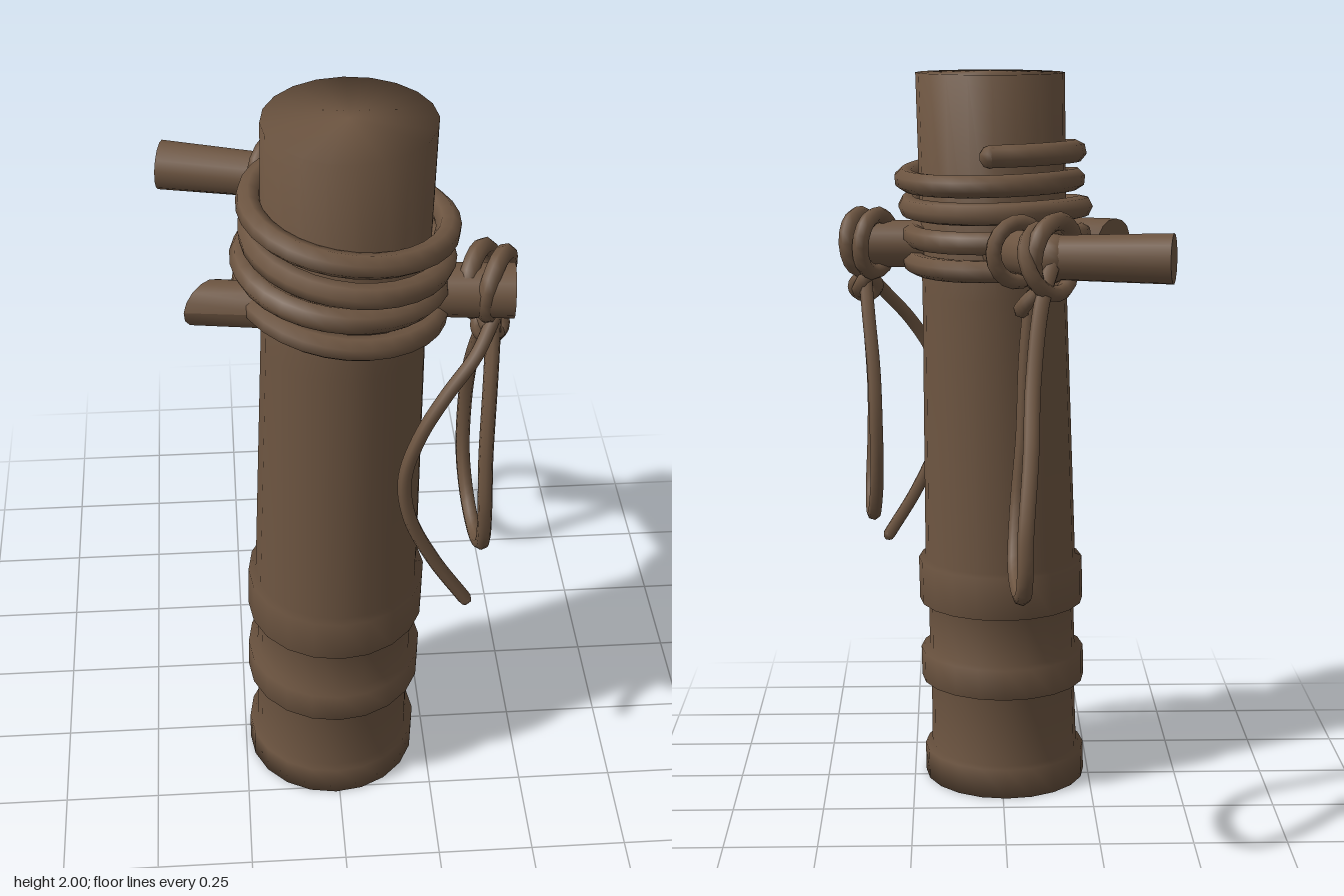
import * as THREE from 'three';

const wood = new THREE.MeshStandardMaterial({ color: 0x6d5541 });
wood.name = 'brown wood and rope';

const V = (p) => new THREE.Vector3(...p);

function add(group, name, geometry) {
  const mesh = new THREE.Mesh(geometry, wood);
  mesh.name = name;
  group.add(mesh);
  return mesh;
}

// Straight round peg between two points; slant skews the far end cap
function peg(group, name, a, b, r0, r1, slant = 0) {
  const from = V(a), to = V(b), len = from.distanceTo(to);
  const geo = new THREE.CylinderGeometry(r1, r0, len, 14);
  const dir = to.clone().sub(from).normalize();
  geo.applyQuaternion(new THREE.Quaternion().setFromUnitVectors(new THREE.Vector3(0, 1, 0), dir));
  const mid = from.clone().add(to).multiplyScalar(0.5);
  geo.translate(mid.x, mid.y, mid.z);
  if (slant) {
    const pos = geo.attributes.position;
    for (let i = 0; i < pos.count; i++) {
      const p = new THREE.Vector3().fromBufferAttribute(pos, i);
      if (p.clone().sub(mid).dot(dir) > 0) pos.setX(i, p.x + slant * (p.z - to.z));
    }
    geo.computeVertexNormals();
  }
  return add(group, name, geo);
}

// Rope along a smooth path, with closed tips
function rope(group, name, points, radius, segments = 48) {
  const curve = new THREE.CatmullRomCurve3(points.map(V));
  add(group, name, new THREE.TubeGeometry(curve, segments, radius, 7));
  for (const t of [0, 1]) {
    const tip = add(group, name + 'Tip', new THREE.SphereGeometry(radius, 7, 5));
    tip.position.copy(curve.getPointAt(t));
  }
}

// Rope ring around an axis
function ring(group, name, center, axis, radius, tube) {
  const mesh = add(group, name, new THREE.TorusGeometry(radius, tube, 7, 18));
  mesh.position.set(...center);
  mesh.quaternion.setFromUnitVectors(new THREE.Vector3(0, 0, 1), V(axis).normalize());
}

export function createModel() {
  const model = new THREE.Group();
  model.name = 'mooringPost';

  // Post with raised bands at the foot, leaning very slightly
  const profile = [
    [0, 0], [0.228, 0], [0.228, 0.083], [0.208, 0.088], [0.205, 0.285], [0.232, 0.29],
    [0.232, 0.375], [0.208, 0.38], [0.206, 0.515], [0.232, 0.52], [0.232, 0.64],
    [0.213, 0.647], [0.2, 1.4], [0.203, 1.995], [0, 2],
  ].map(([r, y]) => new THREE.Vector2(r, y));
  const postGeo = new THREE.LatheGeometry(profile, 20);
  const pos = postGeo.attributes.position;
  for (let i = 0; i < pos.count; i++) {
    const y = pos.getY(i);
    pos.setX(i, pos.getX(i) - 0.01 + 0.02 * y);
    pos.setZ(i, pos.getZ(i) + 0.29 + 0.018 * y);
  }
  add(model, 'post', postGeo);

  // Rope wound round the post, descending from the back
  const coil = [];
  const turns = 4, steps = 16;
  for (let i = 0; i <= turns * steps; i++) {
    const t = i / steps, a = Math.PI * (2 * t + 1);
    const r = 0.232 + 0.006 * Math.sin(t * 9);
    coil.push([
      0.035 - 0.008 * t + Math.sin(a) * r,
      1.785 - 0.075 * t - 0.018 * Math.sin(a),
      0.322 - 0.003 * t + Math.cos(a) * r,
    ]);
  }
  rope(model, 'coiledRope', coil, 0.031, 120);

  // Pegs: right-hand side, left-hand side and bent branch at the back
  peg(model, 'leftPeg', [0.14, 1.53, 0.32], [0.425, 1.53, 0.345], 0.065, 0.067);
  peg(model, 'rightPeg', [-0.12, 1.54, 0.385], [-0.315, 1.54, 0.36], 0.058, 0.054, -0.75);
  peg(model, 'branchInner', [0.005, 1.535, 0.17], [-0.12, 1.555, -0.19], 0.065, 0.062);
  peg(model, 'branchOuter', [-0.10, 1.555, -0.175], [-0.417, 1.56, -0.25], 0.056, 0.064);
  const elbow = add(model, 'branchElbow', new THREE.SphereGeometry(0.062, 14, 10));
  elbow.position.set(-0.115, 1.555, -0.18);

  // Rope rings around the pegs
  ring(model, 'leftPegRing', [0.345, 1.535, 0.295], [0.87, 0.05, 0.5], 0.078, 0.023);
  ring(model, 'leftPegRing', [0.385, 1.535, 0.32], [0.88, -0.08, 0.47], 0.077, 0.023);
  ring(model, 'branchRing', [-0.035, 1.555, -0.062], [0.5, 0, 0.85], 0.076, 0.021);
  ring(model, 'branchKnotRing', [-0.12, 1.56, -0.195], [0.8, 0.1, 0.6], 0.09, 0.024);
  ring(model, 'branchKnotRing', [-0.105, 1.55, -0.215], [0.72, -0.35, 0.6], 0.084, 0.021);

  // Small knots under the pegs
  ring(model, 'leftKnot', [0.375, 1.43, 0.32], [0.8, 0.5, 0.2], 0.035, 0.02);
  ring(model, 'leftKnot', [0.375, 1.415, 0.315], [0.1, 0.4, 0.9], 0.03, 0.02);
  ring(model, 'branchKnot', [-0.06, 1.45, -0.225], [0.6, 0.6, 0.3], 0.03, 0.02);

  // Hanging loops
  rope(model, 'leftLoop', [
    [0.375, 1.45, 0.31], [0.365, 1.35, 0.25], [0.35, 1.2, 0.192], [0.345, 1.05, 0.167],
    [0.345, 0.9, 0.185], [0.355, 0.795, 0.25], [0.365, 0.762, 0.34], [0.37, 0.81, 0.425],
    [0.365, 0.95, 0.465], [0.362, 1.1, 0.452], [0.37, 1.3, 0.405], [0.38, 1.45, 0.34],
  ], 0.019, 60);
  rope(model, 'branchLoop', [
    [-0.13, 1.58, -0.2], [-0.09, 1.46, -0.265], [-0.065, 1.27, -0.35], [-0.055, 1.1, -0.465],
    [-0.04, 0.92, -0.55], [-0.038, 0.8, -0.545], [-0.03, 0.745, -0.43], [-0.022, 0.785, -0.3],
    [-0.03, 0.92, -0.225], [-0.045, 1.1, -0.215], [-0.052, 1.3, -0.21], [-0.065, 1.46, -0.21],
  ], 0.021, 60);

  // Loose tail of rope at the front left
  rope(model, 'ropeTail', [
    [0.375, 1.45, 0.35], [0.33, 1.39, 0.41], [0.255, 1.3, 0.45], [0.195, 1.2, 0.472],
    [0.16, 1.08, 0.48], [0.175, 0.95, 0.48], [0.24, 0.8, 0.475], [0.325, 0.66, 0.472],
  ], 0.018);

  return model;
}
